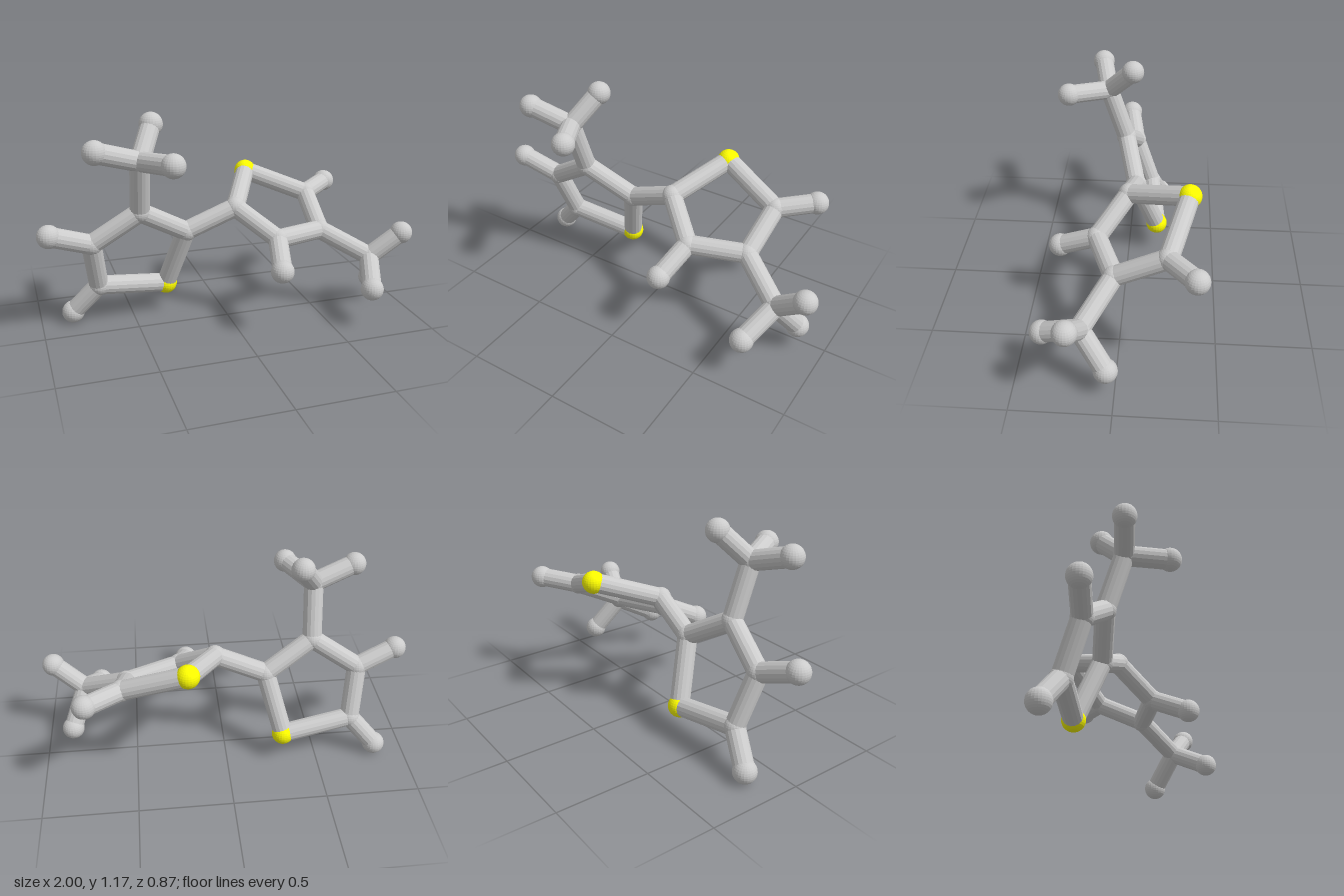
import * as THREE from 'three';

const BOND_RADIUS = 0.052;

// Atom centres; the first letter of each key is the kind of atom (S, C or H)
const atoms = {
  // Left ring, hanging upright
  C1: [-0.22, 0.51, -0.045], S1: [-0.31, 0.175, -0.163], C2: [-0.69, 0.225, -0.12],
  C3: [-0.73, 0.5, -0.02], C4: [-0.48, 0.665, 0.027],
  H2: [-0.83, 0.065, -0.172], H3: [-0.945, 0.58, 0.02],
  // Methyl group on the left ring
  C5: [-0.49, 0.958, 0.125],
  H5a: [-0.715, 1.03, 0.173], H5b: [-0.4, 1.112, -0.012], H5c: [-0.372, 0.98, 0.338],
  // Right ring, lying nearly flat
  C6: [0.05, 0.625, -0.02], S2: [0.213, 0.735, -0.337], C7: [0.55, 0.6, -0.238],
  C8: [0.53, 0.462, 0.025], C9: [0.24, 0.475, 0.135],
  H7: [0.728, 0.62, -0.375], H9: [0.19, 0.375, 0.338],
  // Methyl group on the right ring
  C10: [0.77, 0.33, 0.172],
  H10a: [0.935, 0.465, 0.215], H10b: [0.693, 0.224, 0.372], H10c: [0.85, 0.143, 0.043],
};

const bonds = {
  leftRingBond: ['C1 S1', 'S1 C2', 'C2 C3', 'C3 C4', 'C4 C1'],
  rightRingBond: ['C6 S2', 'S2 C7', 'C7 C8', 'C8 C9', 'C9 C6'],
  linkBond: ['C1 C6'],
  hydrogenBond: ['C2 H2', 'C3 H3', 'C7 H7', 'C9 H9'],
  leftMethylBond: ['C4 C5', 'C5 H5a', 'C5 H5b', 'C5 H5c'],
  rightMethylBond: ['C8 C10', 'C10 H10a', 'C10 H10b', 'C10 H10c'],
};

export function createModel() {
  const model = new THREE.Group();
  const grey = new THREE.MeshStandardMaterial({ color: 0xcccccc, flatShading: true });
  const yellow = new THREE.MeshStandardMaterial({ color: 0xffff00, flatShading: true });
  const kinds = {
    S: { name: 'sulfurAtom', radius: 0.061, material: yellow },
    C: { name: 'carbonAtom', radius: 0.057, material: grey },
    H: { name: 'hydrogenAtom', radius: 0.061, material: grey },
  };

  // Balls
  for (const [key, position] of Object.entries(atoms)) {
    const { name, radius, material } = kinds[key[0]];
    const ball = new THREE.Mesh(new THREE.SphereGeometry(radius, 24, 16), material);
    ball.name = name;
    ball.position.set(...position);
    model.add(ball);
  }

  // Sticks, each running from centre to centre
  const up = new THREE.Vector3(0, 1, 0);
  for (const [name, pairs] of Object.entries(bonds)) {
    for (const pair of pairs) {
      const [a, b] = pair.split(' ').map((key) => new THREE.Vector3(...atoms[key]));
      const direction = b.clone().sub(a);
      const stick = new THREE.Mesh(
        new THREE.CylinderGeometry(BOND_RADIUS, BOND_RADIUS, direction.length(), 16), grey);
      stick.name = name;
      stick.position.copy(a).lerp(b, 0.5);
      stick.quaternion.setFromUnitVectors(up, direction.normalize());
      model.add(stick);
    }
  }
  return model;
}
